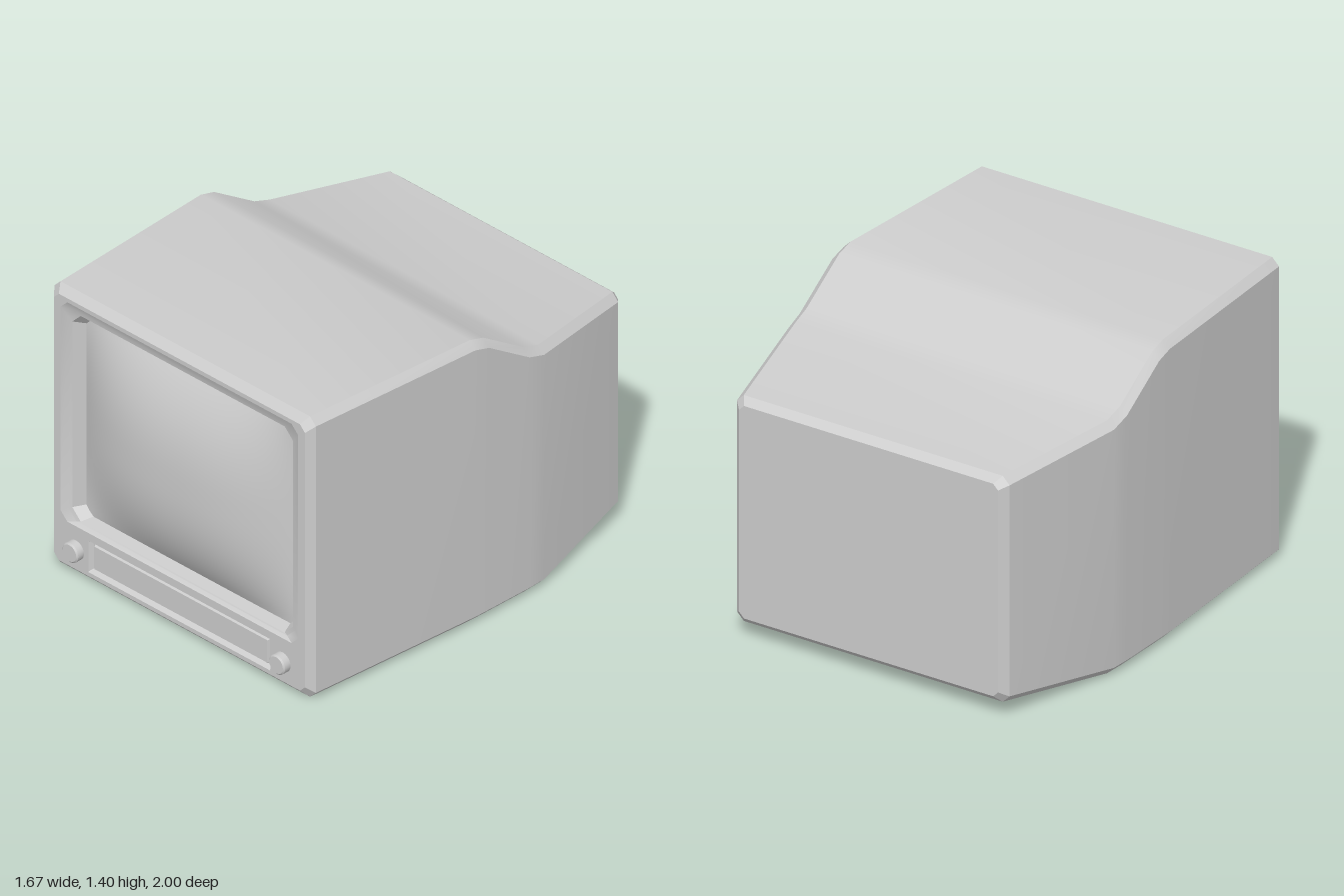
import * as THREE from 'three';
import { toCreasedNormals } from 'three/addons/utils/BufferGeometryUtils.js';

const material = new THREE.MeshStandardMaterial({ color: 0xcccccc });

// Cut-corner rectangle, counter-clockwise: half width, bottom, top, corner cut
function outline([, w, y0, y1, c]) {
  return [
    [w, y0 + c], [w, y1 - c], [w - c, y1], [c - w, y1],
    [-w, y1 - c], [-w, y0 + c], [c - w, y0], [w - c, y0],
  ].map(([x, y]) => new THREE.Vector2(x, y));
}

// Skin over sections [z, half width, bottom, top, corner cut].
// Front-to-back order faces outwards, back-to-front faces inwards.
function loft(sections) {
  const pos = [], index = [];
  sections.forEach((s, i) => {
    outline(s).forEach((p, j) => {
      pos.push(p.x, p.y, s[0]);
      if (i === sections.length - 1) return;
      const k = (j + 1) % 8, a = i * 8 + j, b = i * 8 + k;
      index.push(a, a + 8, b + 8, a, b + 8, b);
    });
  });
  const geo = new THREE.BufferGeometry();
  geo.setAttribute('position', new THREE.Float32BufferAttribute(pos, 3));
  geo.setIndex(index);
  return toCreasedNormals(geo, 0.5);
}

// Flat face filling a section, optionally with openings
function face(section, holes = []) {
  const shape = new THREE.Shape(outline(section));
  shape.holes = holes.map((h) => new THREE.Path(outline(h).reverse()));
  return new THREE.ShapeGeometry(shape);
}

export function createModel() {
  const model = new THREE.Group();
  const add = (name, geometry, x = 0, y = 0, z = 0) => {
    const mesh = new THREE.Mesh(geometry, material);
    mesh.name = name;
    mesh.position.set(x, y, z);
    model.add(mesh);
    return mesh;
  };

  // Cabinet: tapered shell with bevelled edges and a stepped-down back
  const shell = [
    [0.945, 0.745, 0.035, 1.365, 0.03],
    [0.91, 0.775, 0, 1.4, 0.035],
    [0.02, 0.832, 0, 1.4, 0.035],
    [-0.06, 0.833, 0, 1.377, 0.035],
    [-0.3, 0.834, 0, 1.22, 0.035],
    [-0.39, 0.83, 0, 1.19, 0.035],
    [-0.965, 0.695, 0.067, 1.13, 0.035],
    [-1, 0.66, 0.1, 1.1, 0.025],
  ];
  add('cabinet', loft(shell));
  add('backPanel', face(shell[7]).rotateY(Math.PI), 0, 0, -1);

  // Front panel with screen opening and slot opening
  const bezel = [
    [0.86, 0.62, 0.28, 1.26, 0.04],
    [0.925, 0.655, 0.268, 1.295, 0.05],
    [0.93, 0.675, 0.262, 1.315, 0.05],
    [0.945, 0.705, 0.25, 1.345, 0.04],
  ];
  const slot = [
    [0.925, 0.525, 0.07, 0.2, 0.002],
    [0.945, 0.54, 0.055, 0.212, 0.002],
  ];
  add('frontPanel', face(shell[0], [bezel[3], slot[1]]), 0, 0, 0.945);
  add('screenBezel', loft(bezel));
  add('slotFrame', loft(slot));
  add('slotFloor', face(slot[0]), 0, 0, 0.925);

  // Control cover set inside the slot
  const cover = [[0.938, 0.512, 0.08, 0.192, 0.002], [0.925, 0.518, 0.075, 0.196, 0.002]];
  add('controlCoverEdge', loft(cover));
  add('controlCover', face(cover[0]), 0, 0, 0.938);

  // Bulging picture tube
  const screen = new THREE.PlaneGeometry(1.25, 0.99, 32, 28);
  const p = screen.attributes.position;
  const bulge = (t) => 1 - Math.min(1, Math.abs(t)) ** 2.5;
  for (let i = 0; i < p.count; i++) {
    p.setZ(i, 0.13 * bulge(p.getX(i) / 0.625) * bulge(p.getY(i) / 0.495));
  }
  screen.computeVertexNormals();
  add('screen', screen, 0, 0.77, 0.87);

  // Knobs
  const profile = [[0.047, 0], [0.047, 0.034], [0.04, 0.04], [0, 0.04]]
    .map(([r, h]) => new THREE.Vector2(r, h));
  for (const side of [1, -1]) {
    const knob = toCreasedNormals(new THREE.LatheGeometry(profile, 20).rotateX(Math.PI / 2), 0.5);
    add(side > 0 ? 'leftKnob' : 'rightKnob', knob, side * 0.613, 0.133, 0.944);
  }
  return model;
}
